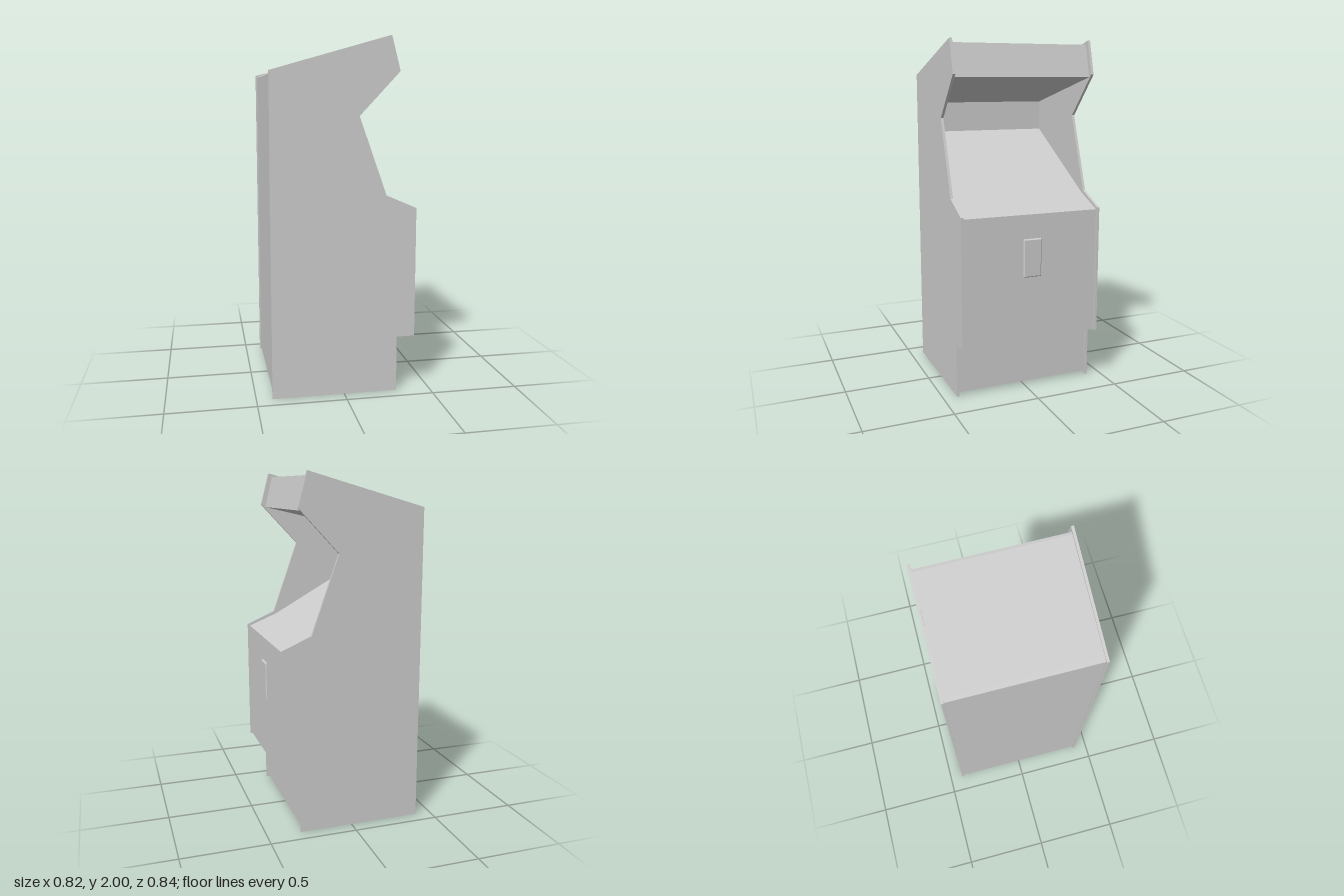
import * as THREE from 'three';

const material = new THREE.MeshStandardMaterial({ color: 0xcccccc });

// Extrudes an x/y side profile along z, starting at z0
function slab(name, profile, z0, depth) {
  const shape = new THREE.Shape(profile.map(([x, y]) => new THREE.Vector2(x, y)));
  const geometry = new THREE.ExtrudeGeometry(shape, { depth, bevelEnabled: false });
  geometry.translate(0, 0, z0);
  const mesh = new THREE.Mesh(geometry, material);
  mesh.name = name;
  return mesh;
}

export function createModel() {
  const cabinet = new THREE.Group();
  cabinet.name = 'arcadeCabinet';

  // Side panels, standing slightly proud of the body
  const panel = [
    [-0.41, 0], [0.305, 0], [0.305, 0.32], [0.408, 0.32], [0.408, 1.06],
    [0.235, 1.135], [0.08, 1.57], [0.305, 1.81], [0.255, 2], [-0.41, 1.81],
  ];
  const half = 0.42, thick = 0.015;
  cabinet.add(slab('leftSidePanel', panel, half - thick, thick));
  cabinet.add(slab('rightSidePanel', panel, -half, thick));

  // Body between the panels, with the deep screen recess under the marquee
  const body = [
    [-0.38, 0.006], [0.295, 0.02], [0.295, 0.322], [0.396, 0.322], // base and kick plate
    [0.396, 1.048], [0.22, 1.12],                                  // front and control deck
    [-0.385, 1.46], [-0.385, 1.64],                                // screen and recess back
    [0.28, 1.795], [0.235, 1.977], [0.22, 1.977],                  // marquee
    [-0.38, 1.812], [-0.402, 1.796], [-0.402, 0.02],               // roof and back
  ];
  cabinet.add(slab('body', body, -half + thick, 2 * (half - thick)));

  // Coin door: a small plate with bevelled edges on the front
  const w = 0.049, h = 0.104;
  const plate = new THREE.Shape([
    new THREE.Vector2(-w, -h), new THREE.Vector2(w, -h),
    new THREE.Vector2(w, h), new THREE.Vector2(-w, h),
  ]);
  const coinGeometry = new THREE.ExtrudeGeometry(plate, {
    depth: 0.006, bevelThickness: 0.006, bevelSize: 0.006, bevelSegments: 1,
  });
  const coinDoor = new THREE.Mesh(coinGeometry, material);
  coinDoor.name = 'coinDoor';
  coinDoor.rotation.y = Math.PI / 2;
  coinDoor.position.set(0.396, 0.8, -0.002);
  cabinet.add(coinDoor);

  return cabinet;
}
